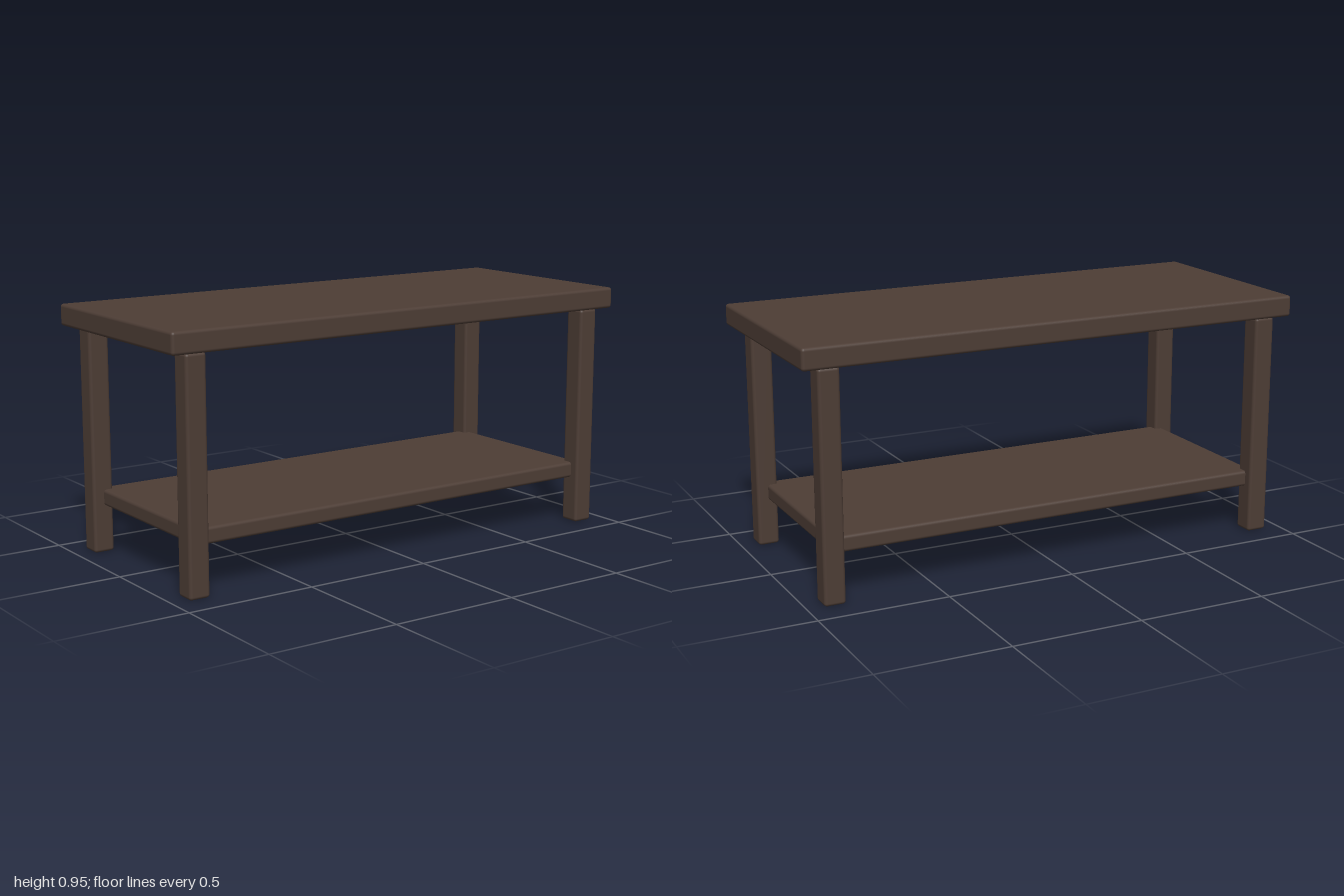
import * as THREE from 'three';
import { RoundedBoxGeometry } from 'three/addons/geometries/RoundedBoxGeometry.js';

export function createModel() {
  const model = new THREE.Group();
  model.name = 'table';
  const wood = new THREE.MeshStandardMaterial({ color: 0x4d3d35 });

  // Softly rounded plank or post standing on height y
  function plank(name, w, h, d, x, y, z) {
    const mesh = new THREE.Mesh(new RoundedBoxGeometry(w, h, d, 3, 0.012), wood);
    mesh.name = name;
    mesh.position.set(x, y + h / 2, z);
    model.add(mesh);
  }

  // Top and lower shelf; the shelf corners are let into the legs
  plank('tableTop', 0.84, 0.082, 2, 0, 0.866, 0);
  plank('shelf', 0.73, 0.062, 1.786, 0, 0.181, 0);

  // Four square legs
  for (const [side, sx] of [['Left', 1], ['Right', -1]]) {
    for (const [end, sz] of [['front', 1], ['back', -1]]) {
      plank(`${end}${side}Leg`, 0.082, 0.866, 0.082, sx * 0.358, 0, sz * 0.896);
    }
  }
  return model;
}
